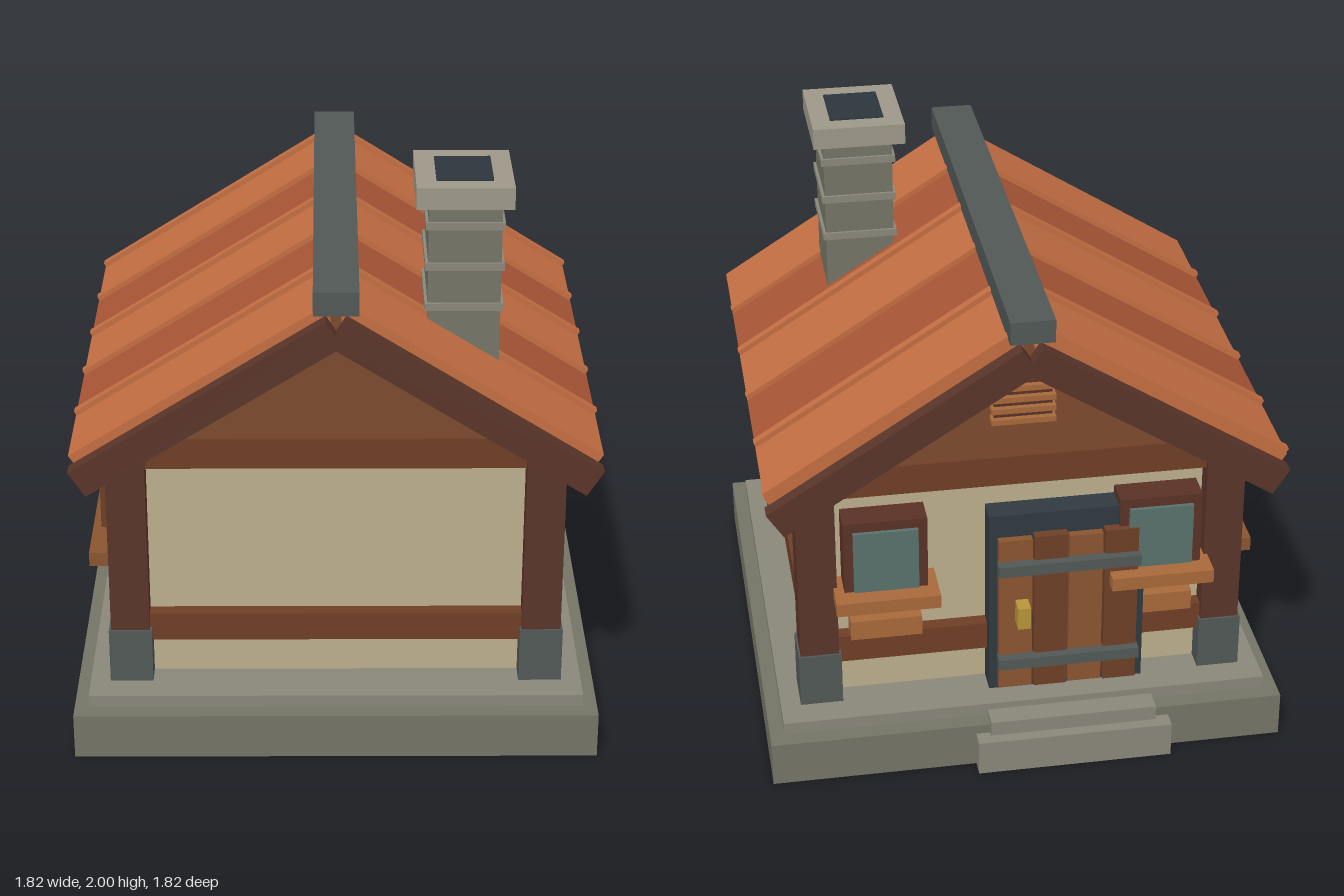
import * as THREE from 'three';

const COL = {
  stone: 0x747466, paleStone: 0x8a877a, capStone: 0x9d9888, iron: 0x505856, soot: 0x2c363c,
  plaster: 0xbcae8d, post: 0x5a3529, beam: 0x6f3e26, gable: 0x7d4a2e, frame: 0x5a3226,
  sill: 0xa8693a, plankA: 0x6e3f27, plankB: 0x8a5530, glass: 0x59706c, brass: 0xb8943a,
  tileA: 0xc46e42, tileB: 0xa85535, doorFrame: 0x2f3a40,
};
const materials = {};
const mat = (key) => (materials[key] ??= new THREE.MeshStandardMaterial({ color: COL[key], flatShading: true }));

// Box given by its extents on each axis
function box(parent, name, key, [x0, x1], [y0, y1], [z0, z1]) {
  const mesh = new THREE.Mesh(new THREE.BoxGeometry(x1 - x0, y1 - y0, z1 - z0), mat(key));
  mesh.position.set((x0 + x1) / 2, (y0 + y1) / 2, (z0 + z1) / 2);
  mesh.name = name;
  parent.add(mesh);
  return mesh;
}
const around = (c, w) => [c - w / 2, c + w / 2];
function part(parent, name) {
  const g = new THREE.Group();
  g.name = name;
  parent.add(g);
  return g;
}

function addBase(root) {
  const g = part(root, 'foundation');
  box(g, 'plinth', 'stone', [-0.91, 0.91], [0, 0.165], [-0.85, 0.91]);
  box(g, 'floorSlab', 'paleStone', [-0.86, 0.86], [0.165, 0.21], [-0.79, 0.85]);
  box(g, 'lowerStep', 'paleStone', [-0.5, 0.19], [0, 0.13], [-0.91, -0.8]);
  box(g, 'upperStep', 'paleStone', [-0.45, 0.14], [0.13, 0.185], [-0.87, -0.78]);
}

function addWalls(root) {
  const g = part(root, 'walls');
  box(g, 'plasterWalls', 'plaster', [-0.715, 0.715], [0.21, 1.14], [-0.61, 0.67]);
  // Corner posts with iron feet
  for (const x of [-0.715, 0.715]) for (const z of [-0.61, 0.67]) {
    box(g, 'cornerPost', 'post', around(x, 0.135), [0.21, 1.16], around(z, 0.14));
    box(g, 'postFoot', 'iron', around(x, 0.15), [0.21, 0.41], around(z, 0.158));
  }
  // Horizontal timbers on all four sides
  for (const [y, h, name] of [[0.412, 0.105, 'lowerBeam'], [1.085, 0.11, 'upperBeam']]) {
    for (const z of [-0.625, 0.685])
      box(g, name, 'beam', [-0.65, 0.65], around(y, h), around(z, 0.07));
    for (const x of [-0.725, 0.725])
      box(g, name, 'beam', around(x, 0.07), around(y, h), [-0.54, 0.6]);
  }
  // Gable prism under the roof
  const tri = new THREE.Shape([[-0.74, 1.14], [0.74, 1.14], [0, 1.6]].map((p) => new THREE.Vector2(...p)));
  const gable = new THREE.Mesh(new THREE.ExtrudeGeometry(tri, { depth: 1.36, bevelEnabled: false }), mat('gable'));
  gable.position.z = -0.65;
  gable.name = 'gable';
  g.add(gable);
  // Louvred vent in the back gable
  box(g, 'ventPanel', 'frame', around(0, 0.2), [1.28, 1.44], [-0.675, -0.64]);
  for (let i = 0; i < 4; i++)
    box(g, 'ventSlat', 'sill', around(0, 0.22), around(1.297 + i * 0.042, 0.02), [-0.695, -0.64]);
}

function addRoof(root) {
  const g = part(root, 'roof');
  const slope = Math.atan(0.635);
  for (const side of [1, -1]) {
    const plane = part(g, side > 0 ? 'leftRoofSlope' : 'rightRoofSlope');
    plane.position.y = 1.675;
    plane.rotation.z = -side * slope;
    // s runs down the slope, n is the height off it
    const slab = (name, key, [s0, s1], n, z) =>
      box(plane, name, key, side > 0 ? [s0, s1] : [-s1, -s0], n, z);
    for (let i = 0; i < 5; i++) {
      const z0 = -0.8 + i * 0.33;
      slab('tileStrip', i % 2 ? 'tileB' : 'tileA', [0.04, 1.035], [-0.03, 0.03], [z0, z0 + 0.33]);
      slab('tileSeam', 'tileA', [0.04, 1.03], [0.03, 0.048], around(z0 + 0.015, 0.032));
    }
    for (const z of [0.88, -0.825])
      slab('bargeboard', 'post', [0.04, 1.053], [-0.105, 0], around(z, 0.055));
  }
  box(g, 'ridgeBeam', 'iron', [-0.075, 0.075], [1.675, 1.757], [-0.85, 0.91]);
}

function addChimney(root) {
  const g = part(root, 'chimney');
  box(g, 'chimneyStack', 'stone', around(0.43, 0.245), [1.25, 1.92], around(0.42, 0.285));
  for (const y of [1.56, 1.705, 1.85])
    box(g, 'chimneyBand', 'paleStone', around(0.43, 0.265), around(y, 0.026), around(0.42, 0.305));
  box(g, 'chimneyCap', 'capStone', around(0.427, 0.325), [1.92, 1.995], around(0.417, 0.365));
  box(g, 'flue', 'soot', around(0.427, 0.19), [1.95, 2], around(0.417, 0.225));
}

function addDoor(root) {
  const g = part(root, 'door');
  const c = -0.155;
  box(g, 'doorFrame', 'doorFrame', around(c, 0.55), [0.21, 0.93], [-0.7, -0.6]);
  for (let i = 0; i < 4; i++)
    box(g, 'doorPlank', i % 2 ? 'plankB' : 'plankA', around(c - 0.186 + i * 0.124, 0.118),
      [0.23, 0.855 - (i % 2) * 0.012], [-0.735 + (i % 2) * 0.006, -0.69]);
  for (const y of [0.35, 0.74])
    box(g, 'hingeStrap', 'iron', around(c, 0.5), around(y, 0.042), [-0.765, -0.72]);
  box(g, 'doorHandle', 'brass', around(0.01, 0.045), [0.515, 0.6], [-0.79, -0.73]);
}

function addWindows(root) {
  // Back windows, one each side of the door
  for (const x of [-0.48, 0.48]) {
    const g = part(root, 'backWindow');
    box(g, 'windowFrame', 'frame', around(x, 0.29), [0.66, 0.96], [-0.715, -0.6]);
    box(g, 'windowPane', 'glass', around(x, 0.225), [0.69, 0.925], [-0.73, -0.7]);
    box(g, 'windowSill', 'sill', around(x, 0.36), [0.635, 0.685], [-0.785, -0.6]);
    box(g, 'sillBracket', 'sill', around(x, 0.25), [0.47, 0.545], [-0.695, -0.6]);
  }
  // Pair of windows in the right wall
  for (const z of [-0.27, 0.33]) {
    const g = part(root, 'sideWindow');
    box(g, 'windowFrame', 'frame', [-0.8, -0.7], [0.61, 0.96], around(z, 0.4));
    box(g, 'windowPane', 'glass', [-0.815, -0.78], [0.68, 0.925], around(z, 0.3));
    box(g, 'windowMullion', 'sill', [-0.835, -0.78], [0.68, 0.925], around(z, 0.035));
    for (const s of [-1, 1])
      box(g, 'windowStile', 'plankA', [-0.825, -0.78], [0.68, 0.925], around(z + s * 0.145, 0.025));
    box(g, 'windowSill', 'plankB', [-0.865, -0.7], [0.57, 0.622], around(z, 0.48));
  }
}

export function createModel() {
  const root = new THREE.Group();
  root.name = 'cottage';
  for (const add of [addBase, addWalls, addRoof, addChimney, addDoor, addWindows]) add(root);
  return root;
}
